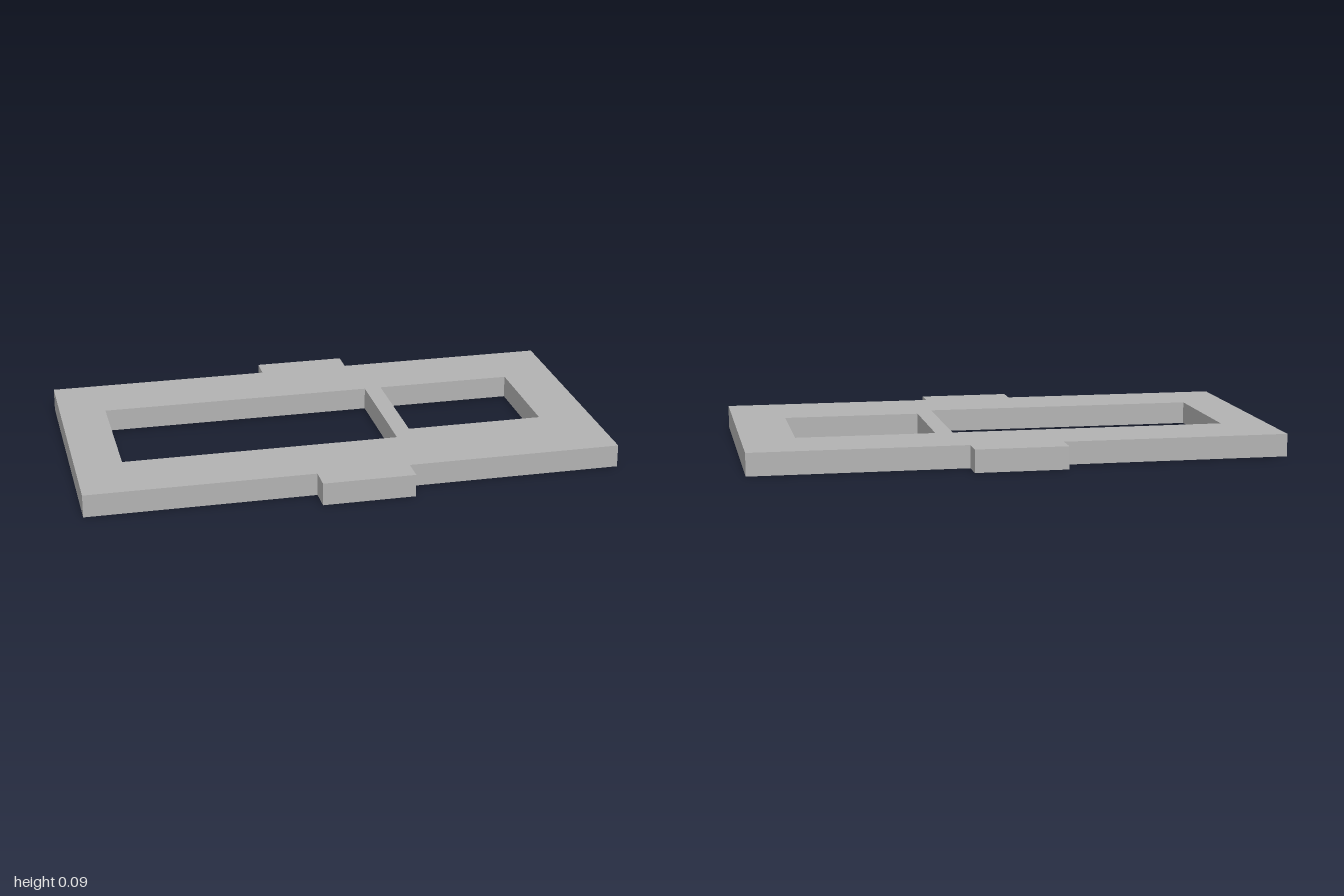
import * as THREE from 'three';

const HEIGHT = 0.085;

// Closed loop from [x, z] corners; z is negated because the plate is extruded flat, then laid down
const points = (corners) => corners.map(([x, z]) => new THREE.Vector2(x, -z));
const rectangle = (x0, x1, z0, z1) => points([[x0, z0], [x1, z0], [x1, z1], [x0, z1]]);

export function createModel() {
  const group = new THREE.Group();
  group.name = 'framePlate';

  const grey = new THREE.MeshStandardMaterial({ color: 0xb2b2b2 });
  grey.name = 'plain grey';

  // Outline: rectangular plate with a tab on the front and back edges
  const side = 0.515, tab = 0.605, tabX0 = -0.15, tabX1 = 0.195;
  const outline = new THREE.Shape(points([
    [-1, side], [tabX0, side], [tabX0, tab], [tabX1, tab], [tabX1, side], [1, side],
    [1, -side], [tabX1, -side], [tabX1, -tab], [tabX0, -tab], [tabX0, -side], [-1, -side],
  ]));

  // Large and small window openings
  outline.holes.push(
    new THREE.Path(rectangle(-0.825, 0.215, -0.25, 0.255)),
    new THREE.Path(rectangle(0.28, 0.8, -0.25, 0.187)),
  );

  const geometry = new THREE.ExtrudeGeometry(outline, { depth: HEIGHT, bevelEnabled: false });
  geometry.rotateX(-Math.PI / 2);

  const plate = new THREE.Mesh(geometry, grey);
  plate.name = 'plate';
  group.add(plate);
  return group;
}
